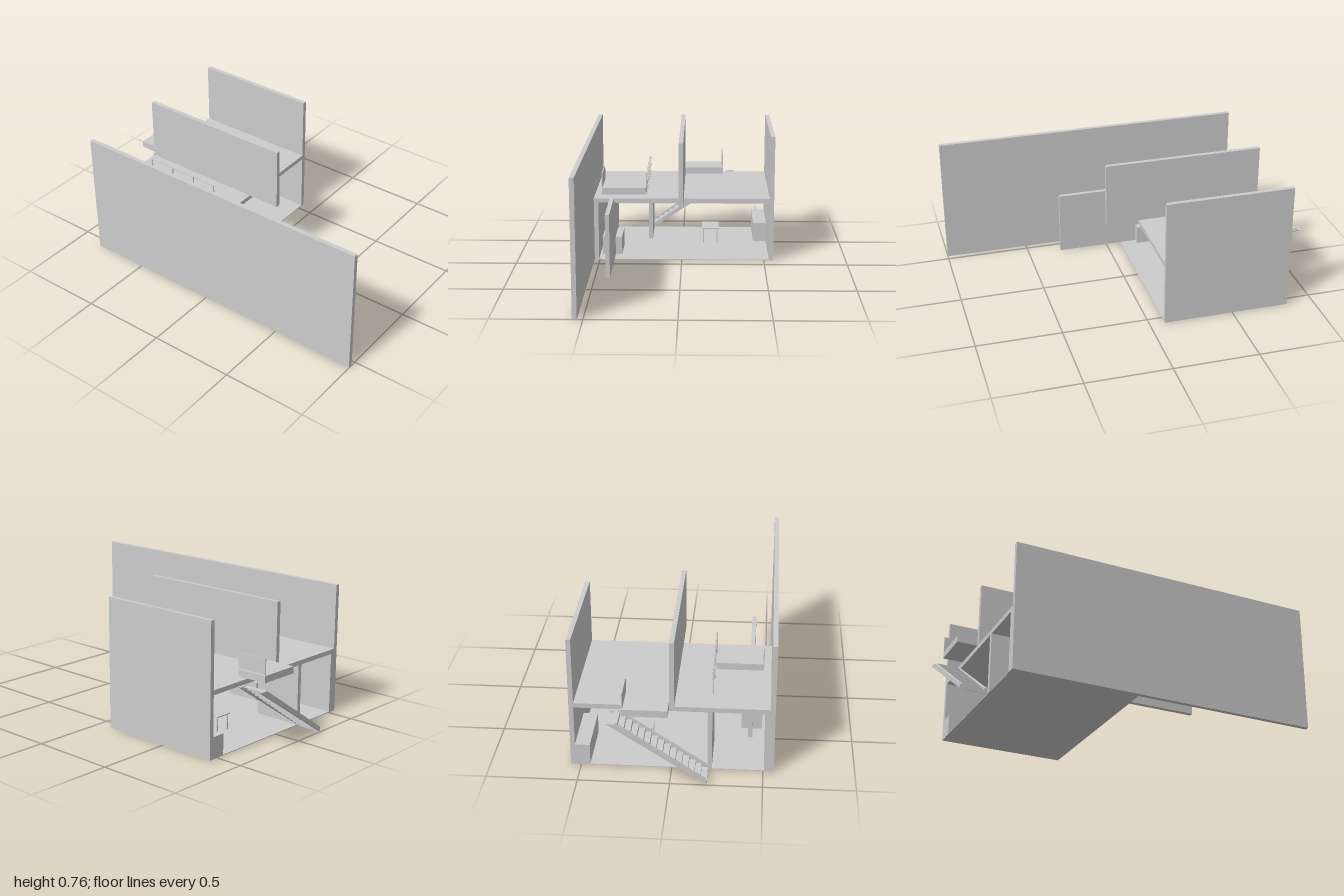
import * as THREE from 'three';

export function createModel() {
  const house = new THREE.Group();
  house.name = 'openHouse';
  const plaster = new THREE.MeshStandardMaterial({ color: 0xcccccc });
  plaster.name = 'plaster grey';

  // Box given by its minimum and maximum on each axis
  function block(name, [x0, x1], [y0, y1], [z0, z1], parent = house) {
    const mesh = new THREE.Mesh(new THREE.BoxGeometry(x1 - x0, y1 - y0, z1 - z0), plaster);
    mesh.position.set((x0 + x1) / 2, (y0 + y1) / 2, (z0 + z1) / 2);
    mesh.name = name;
    parent.add(mesh);
  }
  function section(name) {
    const group = new THREE.Group();
    group.name = name;
    house.add(group);
    return group;
  }

  const west = -0.84, east = -0.09, top = 0.765, slabLow = 0.358, slabTop = 0.385;

  // Shell: floors and tall parallel walls
  block('groundFloor', [west, east], [0, 0.004], [-0.532, 0.532]);
  block('upperFloor', [west, east], [slabLow, slabTop], [-0.532, 0.532]);
  block('frontWall', [west, 1], [0, top], [0.532, 0.558]);
  block('backWall', [west, east], [0, top], [-0.558, -0.532]);
  block('upperMiddleWall', [west, 0.11], [slabTop, top], [-0.012, 0.014]);

  // Ground floor partitions
  block('innerLiningWall', [west, east], [0.004, slabLow], [0.505, 0.532]);
  block('partitionWall', [-0.84, -0.55], [0.004, slabLow], [0.195, 0.22]);
  block('screenWallInside', [-0.5, east], [0.004, slabLow], [0.41, 0.435]);
  block('screenWallOutside', [east, 0.3], [0.004, slabTop], [0.41, 0.435]);

  // Ground floor furniture
  block('lowCabinet', [-0.4, -0.19], [0.004, 0.116], [0.37, 0.49]);
  block('kitchenCounter', [west, -0.5], [0.004, 0.125], [-0.532, -0.45]);
  const table = section('table');
  block('tableTop', [-0.61, -0.45], [0.098, 0.104], [-0.23, -0.123], table);
  for (const x of [-0.6, -0.465])
    for (const z of [-0.222, -0.136])
      block('tableLeg', [x, x + 0.006], [0.004, 0.098], [z, z + 0.006], table);

  // Beds, each with a thin floating headboard
  function bed(name, x, z, headZ) {
    const group = section(name);
    block('mattress', x, [slabTop, 0.425], z, group);
    block('headboard', x, [0.432, 0.52], [headZ - 0.003, headZ + 0.003], group);
  }
  bed('frontBed', [-0.4, -0.192], [0.222, 0.49], 0.488);
  bed('backBed', [-0.96, -0.775], [-0.257, -0.012], -0.254);

  // Railing on the upper floor
  const railing = section('railing');
  for (const x of [-0.68, -0.52, -0.36, -0.206])
    block('railingPost', [x, x + 0.006], [slabTop, 0.52], [0.213, 0.219], railing);
  for (const y of [0.428, 0.472, 0.514])
    block('rail', [-0.68, -0.2], [y, y + 0.005], [0.207, 0.213], railing);

  // Outside stair: two sloping stringers carrying folded steps
  const stairs = section('stairs');
  const profile = [[0.197, 0.005], [0.197, 0.032], [-0.287, slabLow], [-0.338, slabLow]];
  // Shape x runs along -z so that the extrusion runs along x
  const side = new THREE.Shape(profile.map(([z, y]) => new THREE.Vector2(-z, y)));
  const stringer = new THREE.ExtrudeGeometry(side, { depth: 0.018, bevelEnabled: false });
  stringer.rotateY(Math.PI / 2);
  for (const x of [-1, -0.858]) {
    const mesh = new THREE.Mesh(stringer, plaster);
    mesh.position.x = x;
    mesh.name = 'stringer';
    stairs.add(mesh);
  }
  const run = 0.034, rise = 0.0238, width = [-0.982, -0.858];
  for (let i = 0; i < 15; i++) {
    const z = 0.2 - run * i, y = 0.022 + rise * i;
    block('tread', width, [y - 0.003, y], [z - run, z], stairs);
    block('riser', width, [Math.max(0, y - rise), y - 0.003], [z - 0.003, z], stairs);
  }
  return house;
}
